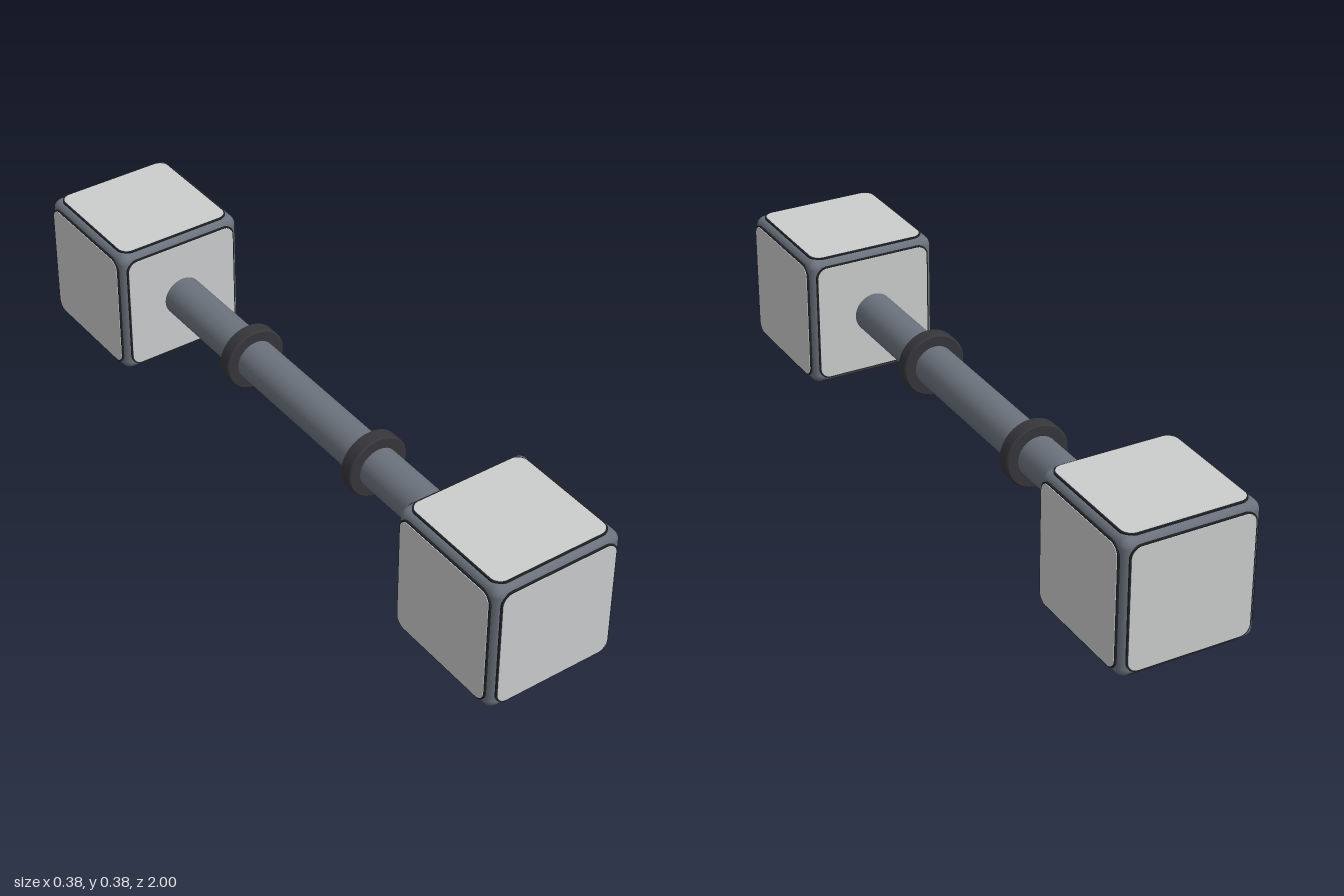
import * as THREE from 'three';
import { RoundedBoxGeometry } from 'three/addons/geometries/RoundedBoxGeometry.js';

const mat = (name, color) => Object.assign(new THREE.MeshStandardMaterial({ color }), { name });

// Rounded square plate lying in xy, its back at z = 0
function plate(half, radius, depth) {
  const s = new THREE.Shape();
  const k = half - radius;
  s.absarc(k, k, radius, 0, Math.PI / 2);
  s.absarc(-k, k, radius, Math.PI / 2, Math.PI);
  s.absarc(-k, -k, radius, Math.PI, Math.PI * 1.5);
  s.absarc(k, -k, radius, Math.PI * 1.5, Math.PI * 2);
  s.closePath();
  return new THREE.ExtrudeGeometry(s, { depth, bevelEnabled: false, curveSegments: 8 });
}

export function createModel() {
  const model = new THREE.Group();
  model.name = 'dumbbell';
  const steel = mat('blueGreySteel', 0x6b727d);
  const light = mat('lightGreyPanel', 0xcbcccd);
  const trimMat = mat('blackTrim', 0x1e2024);
  const dark = mat('charcoalCollar', 0x36363b);

  const add = (parent, name, geometry, material) => {
    const m = new THREE.Mesh(geometry, material);
    m.name = name;
    parent.add(m);
    return m;
  };

  const HALF = 0.192, CY = 0.193;
  const bodyGeo = new RoundedBoxGeometry(0.374, 0.374, 0.374, 4, 0.025);
  const trimGeo = plate(0.171, 0.031, 0.012);
  const panelGeo = plate(0.167, 0.028, 0.002);

  // Outward rotations of the six cube faces
  const q = Math.PI / 2;
  const faces = [[0, 0], [0, q], [0, 2 * q], [0, -q], [q, 0], [-q, 0]];

  // Cube weights with a dark-edged panel on every face
  for (const side of [1, -1]) {
    const weight = new THREE.Group();
    weight.name = side > 0 ? 'frontWeight' : 'backWeight';
    weight.position.set(0, CY, side * (1 - HALF));
    add(weight, 'weightBody', bodyGeo, steel);
    for (const [rx, ry] of faces) {
      const face = new THREE.Group();
      face.name = 'weightFace';
      face.rotation.set(rx, ry, 0);
      add(face, 'panelTrim', trimGeo, trimMat).position.z = HALF - 0.0135;
      add(face, 'panel', panelGeo, light).position.z = HALF - 0.002;
      weight.add(face);
    }
    model.add(weight);
  }

  // Handle bar
  const bar = add(model, 'handleBar', new THREE.CylinderGeometry(0.057, 0.057, 1.3, 40, 1, true), steel);
  bar.rotation.x = q;
  bar.position.y = CY;

  // Grip collars with a small chamfer
  const profile = [[0.055, -0.021], [0.085, -0.021], [0.089, -0.017], [0.089, 0.017], [0.085, 0.021], [0.055, 0.021]];
  // Separate bands keep the collar edges sharp
  for (const side of [1, -1]) {
    const collar = new THREE.Group();
    collar.name = side > 0 ? 'frontCollar' : 'backCollar';
    collar.rotation.x = q;
    collar.position.set(0, CY, side * 0.276);
    for (let i = 0; i < profile.length - 1; i++) {
      const pts = [profile[i], profile[i + 1]].map(([r, y]) => new THREE.Vector2(r, y));
      add(collar, 'collarBand', new THREE.LatheGeometry(pts, 40), dark);
    }
    model.add(collar);
  }
  return model;
}
